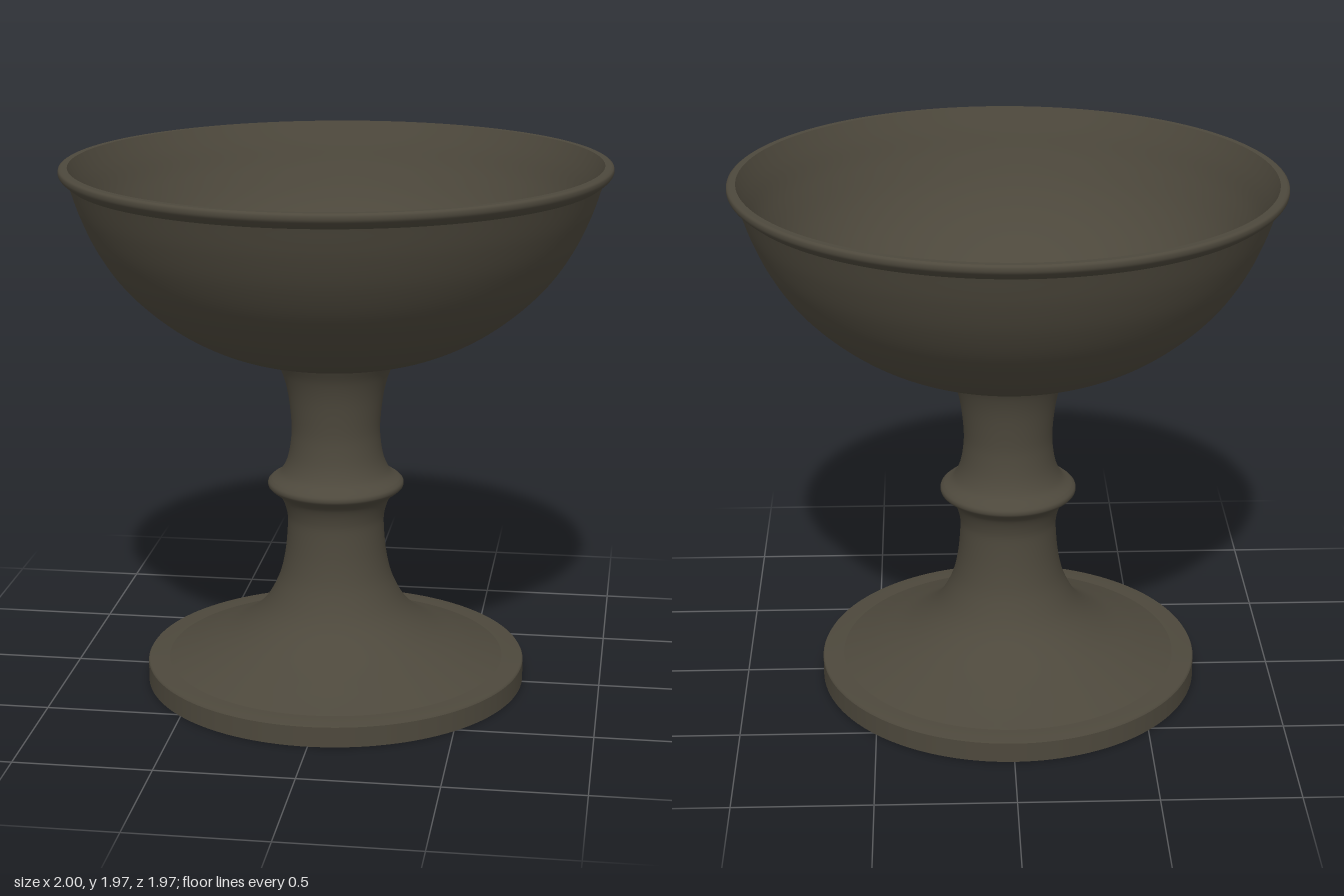
import * as THREE from 'three';

const stone = new THREE.MeshStandardMaterial({ color: 0x4d483c });
stone.name = 'dark olive stone';

// Slight hand-made irregularity: the bowl is narrower and the foot wider in depth, the rim leans a little
function makeUneven(geometry) {
  const p = geometry.attributes.position;
  for (let i = 0; i < p.count; i++) {
    const x = p.getX(i), y = p.getY(i), z = p.getZ(i);
    const t = THREE.MathUtils.smoothstep(y, 0.1, 1.3);
    p.setZ(i, z * THREE.MathUtils.lerp(1.02, 0.985, t));
    p.setY(i, y + 0.004 * t * (x - z));
  }
  return geometry;
}

// Turned surface: smooth curve through [radius, height] points, or straight when steps is 0
function turned(name, profile, steps = 0) {
  let points = profile.map(([r, y]) => new THREE.Vector2(r, y));
  if (steps) points = new THREE.SplineCurve(points).getPoints(steps);
  const mesh = new THREE.Mesh(makeUneven(new THREE.LatheGeometry(points, 128)), stone);
  mesh.name = name;
  return mesh;
}

export function createModel() {
  const group = new THREE.Group();
  group.name = 'pedestalBowl';

  group.add(
    // Foot: flat plinth edge, small ledge, then the flared skirt
    turned('footUnderRing', [[0.665, 0.005], [0.71, 0.005]]),
    turned('footEdge', [[0.71, 0.005], [0.71, 0.08]]),
    turned('footLedge', [[0.71, 0.08], [0.705, 0.088], [0.63, 0.09]]),
    turned('footSkirt', [[0.63, 0.09], [0.52, 0.135], [0.38, 0.2], [0.28, 0.28], [0.22, 0.38],
      [0.192, 0.48], [0.18, 0.6], [0.184, 0.66], [0.205, 0.715], [0.24, 0.745]], 48),
    // Collar and upper stem
    turned('collar', [[0.24, 0.745], [0.252, 0.757], [0.252, 0.773], [0.24, 0.785]], 10),
    turned('upperStem', [[0.24, 0.785], [0.205, 0.81], [0.18, 0.86], [0.167, 0.93], [0.165, 1.0],
      [0.177, 1.11], [0.198, 1.19], [0.225, 1.243]], 32),
    // Bowl outside with its rolled lip
    turned('bowlOutside', [[0.225, 1.243], [0.4, 1.287], [0.55, 1.357], [0.68, 1.45], [0.79, 1.56],
      [0.87, 1.68], [0.925, 1.8], [0.962, 1.912]], 48),
    turned('rimLip', [[0.962, 1.912], [0.985, 1.93], [0.997, 1.945], [0.997, 1.962], [0.988, 1.969]], 14),
    turned('rimTop', [[0.988, 1.969], [0.965, 1.969]]),
    // Bowl inside, down to the drain
    turned('bowlInside', [[0.965, 1.969], [0.93, 1.89], [0.89, 1.79], [0.83, 1.67], [0.75, 1.56],
      [0.64, 1.455], [0.51, 1.37], [0.37, 1.31], [0.21, 1.275]], 48),
    // Hollow bore through the stem, opening out under the foot
    turned('stemBore', [[0.21, 1.275], [0.18, 1.21], [0.152, 1.11], [0.137, 1.0], [0.135, 0.9],
      [0.138, 0.75], [0.145, 0.6], [0.158, 0.46], [0.19, 0.35], [0.25, 0.25], [0.35, 0.17],
      [0.5, 0.1], [0.64, 0.045]], 64),
    turned('footInnerEdge', [[0.64, 0.045], [0.665, 0.005]]),
  );
  return group;
}
